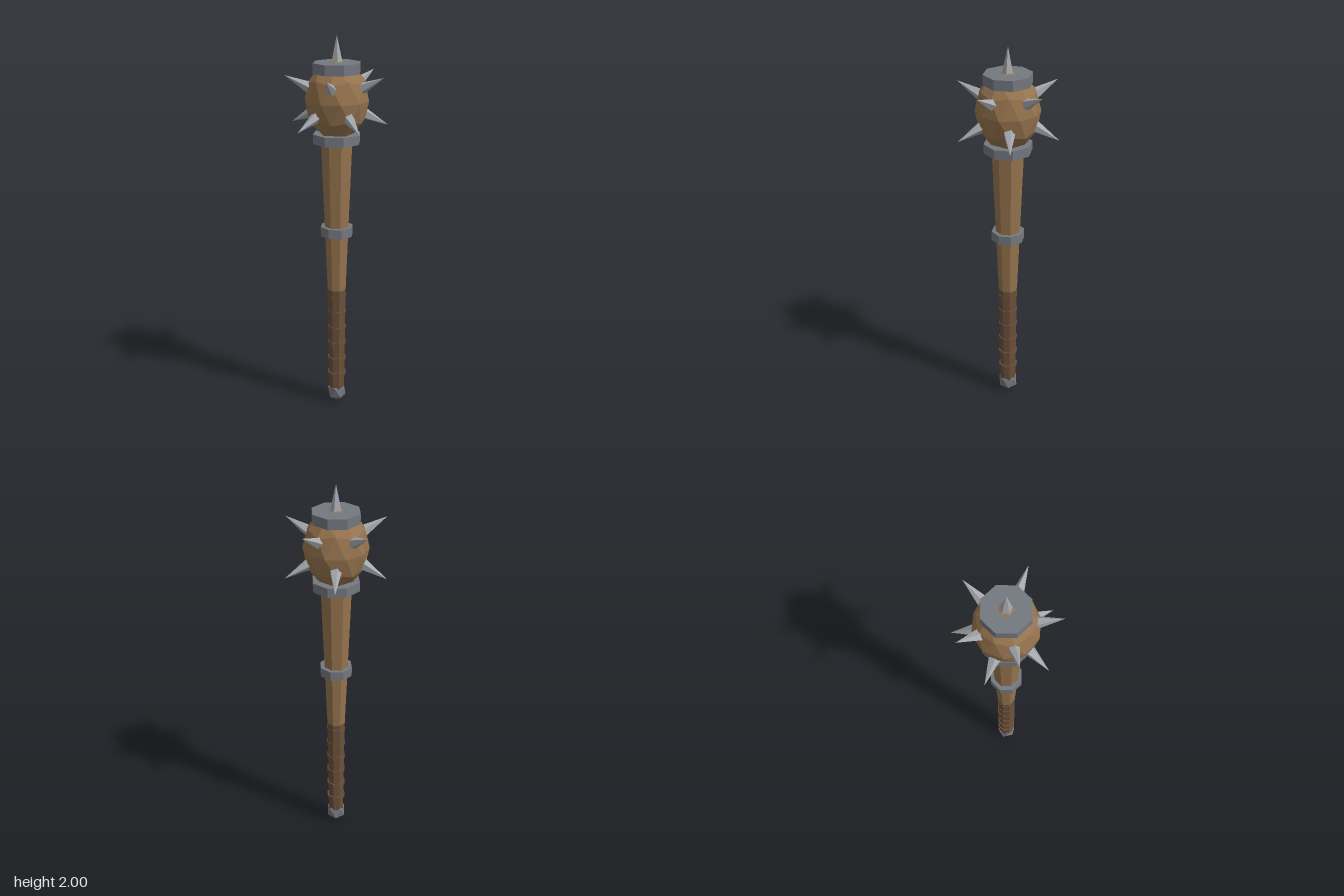
import * as THREE from 'three';

const material = (name, color) => {
  const m = new THREE.MeshStandardMaterial({ color, flatShading: true });
  m.name = name;
  return m;
};

export function createModel() {
  const wood = material('wood', 0x96744e);
  const leather = material('leather', 0x6b5039);
  const iron = material('iron', 0x747880);
  const steel = material('steel', 0xa6a9ae);

  const model = new THREE.Group();
  model.name = 'spikedMace';

  const add = (name, geometry, mat, y = 0, parent = model) => {
    const mesh = new THREE.Mesh(geometry, mat);
    mesh.name = name;
    mesh.position.y = y;
    parent.add(mesh);
    return mesh;
  };

  // Eight-sided tapered section between two heights
  const section = (name, mat, y0, y1, r0, r1 = r0) =>
    add(name, new THREE.CylinderGeometry(r1, r0, y1 - y0, 8), mat, (y0 + y1) / 2);

  // Faceted ball with one corner pointing straight up
  const ball = (radius, height, detail) =>
    new THREE.IcosahedronGeometry(1, detail)
      .rotateZ(-Math.atan(2 / (1 + Math.sqrt(5))))
      .scale(radius, height, radius);

  // Pommel and wrapped grip
  add('pommel', ball(0.055, 0.058, 0), iron, 0.058);
  section('grip', leather, 0.07, 0.66, 0.042, 0.049);
  for (let i = 0; i < 6; i++) {
    const y = 0.17 + i * 0.09;
    section('gripBand', leather, y - 0.009, y + 0.009, 0.051);
  }

  // Shaft and metal bands
  section('shaft', wood, 0.66, 1.5, 0.05, 0.085);
  section('middleBand', iron, 0.963, 1.013, 0.087);
  section('lowerCollar', iron, 1.457, 1.506, 0.125);
  section('upperCollar', iron, 1.812, 1.865, 0.125);

  // Head, whose crown pokes through the upper collar
  const headY = 1.675;
  add('head', ball(0.165, 0.204, 1), wood, headY);

  // Spikes: one on top and two staggered rings of five
  const spike = new THREE.ConeGeometry(0.033, 0.15, 5).rotateY(Math.PI);
  add('topSpike', spike, steel, 1.925);
  const tilt = Math.atan(2);
  for (let i = 0; i < 10; i++) {
    const arm = new THREE.Group();
    arm.name = 'spikeMount';
    arm.position.y = headY;
    arm.rotation.set(0, i * Math.PI / 5, i % 2 ? tilt - Math.PI : -tilt);
    add('sideSpike', spike, steel, 0.22, arm);
    model.add(arm);
  }

  return model;
}
